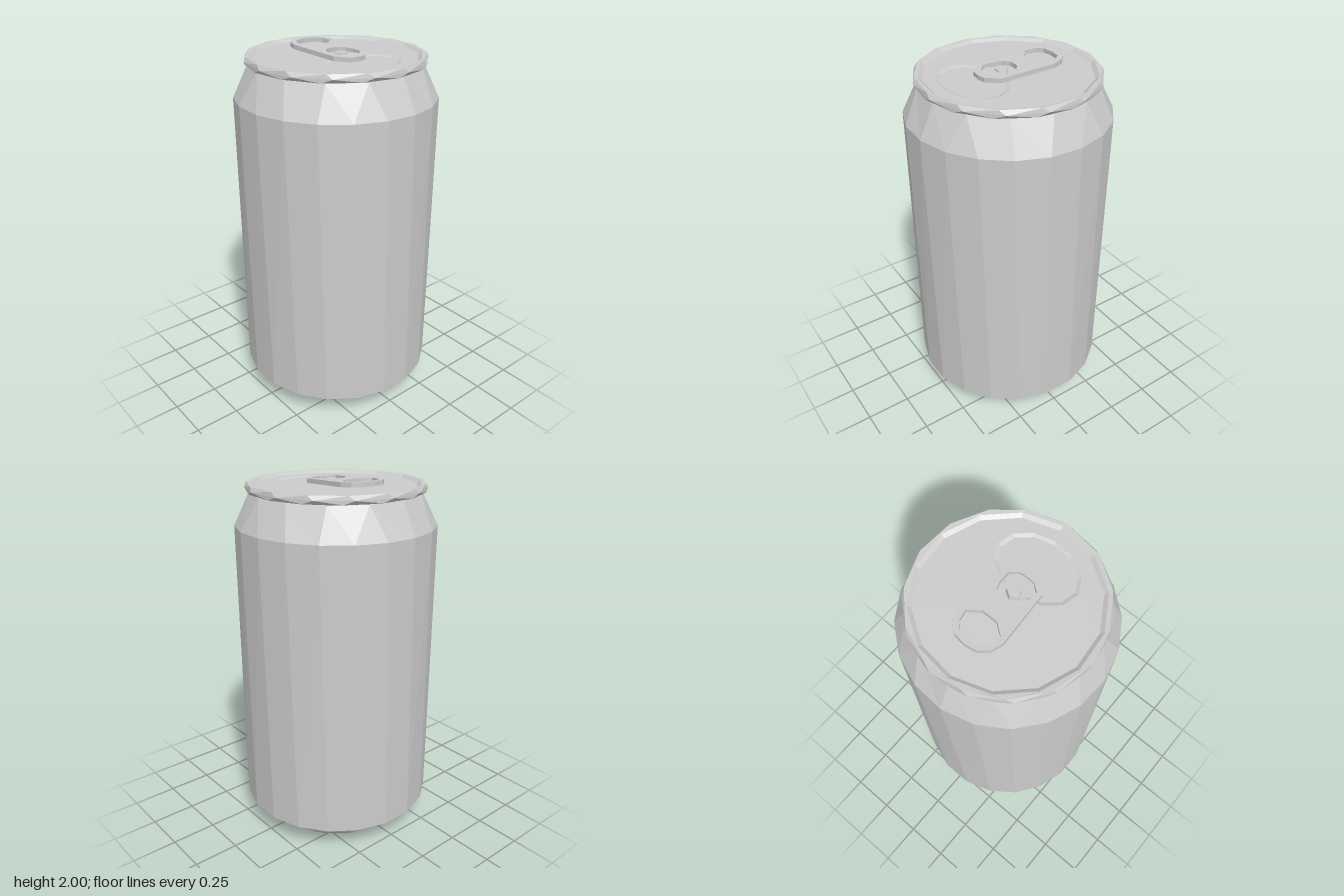
import * as THREE from 'three';

const grey = new THREE.MeshStandardMaterial({ color: 0xcccccc, flatShading: true });

// A polygon ring: n corners, radii rx/rz, height y, turned by phase, centred at z = cz
function ring(n, rx, y, phase = 0, rz = rx, cz = 0) {
  return { n, at: (i) => {
    const a = phase + (i / n) * Math.PI * 2;
    return [rx * Math.sin(a), y, cz + rz * Math.cos(a)];
  }, angle: (i) => phase + (i / n) * Math.PI * 2 };
}

// Zip consecutive rings (which may differ in corner count) into triangles
function loft(rings) {
  const pos = [];
  for (let k = 0; k < rings.length - 1; k++) {
    const A = rings[k], B = rings[k + 1];
    const stepsA = A.n > 1 ? A.n : 0, stepsB = B.n > 1 ? B.n : 0;
    let i = 0, j = 0;
    while (i < stepsA || j < stepsB) {
      if (j >= stepsB || (i < stepsA && A.angle(i + 1) <= B.angle(j + 1))) {
        pos.push(...A.at(i), ...A.at(i + 1), ...B.at(j));
        i++;
      } else {
        pos.push(...A.at(i), ...B.at(j + 1), ...B.at(j));
        j++;
      }
    }
  }
  const g = new THREE.BufferGeometry();
  g.setAttribute('position', new THREE.Float32BufferAttribute(pos, 3));
  g.computeVertexNormals();
  return g;
}

function add(parent, name, geometry) {
  const m = new THREE.Mesh(geometry, grey);
  m.name = name;
  parent.add(m);
  return m;
}

const outline = (r) => Array.from({ length: r.n }, (_, i) => {
  const p = r.at(i);
  return new THREE.Vector2(p[0], -p[2]);
});

// Flat plate drawn in plan (x, -z) and raised along y
function plate(points, holes, depth) {
  const s = new THREE.Shape(points);
  holes.forEach((h) => s.holes.push(new THREE.Path(h)));
  const g = depth
    ? new THREE.ExtrudeGeometry(s, { depth, bevelEnabled: false })
    : new THREE.ShapeGeometry(s);
  return g.rotateX(-Math.PI / 2);
}

const mirrored = (half) => [
  ...half.map(([x, z]) => new THREE.Vector2(x, -z)),
  ...half.filter(([x]) => x > 0).reverse().map(([x, z]) => new THREE.Vector2(-x, -z)),
];

export function createModel() {
  const can = new THREE.Group();
  can.name = 'drinkCan';

  // Domed underside, foot, wall and shoulder
  const step = Math.PI / 20;
  add(can, 'body', loft([
    ring(1, 0, 0.1), ring(8, 0.24, 0.075), ring(9, 0.34, 0.005),
    ring(12, 0.375, 0), ring(14, 0.415, 0.03), ring(14, 0.45, 0.07, 0.1),
    ring(20, 0.543, 0.14, step), ring(20, 0.543, 1.75, step * 0.6),
    ring(14, 0.46, 1.92, 0.1),
  ]));

  // Rolled rim dropping to the recessed lid
  const lidEdge = ring(14, 0.435, 1.952, 0.1);
  add(can, 'rim', loft([
    ring(14, 0.455, 1.922, 0.1), ring(15, 0.475, 1.925), ring(15, 0.483, 1.945, 0.12),
    ring(15, 0.473, 1.968, 0.05), ring(14, 0.455, 1.966, 0.1), lidEdge,
  ]));

  // Lid with a slightly sunken opening panel
  const score = ring(12, 0.225, 1.952, 0.1, 0.165, 0.21);
  add(can, 'lid', plate(outline(lidEdge), [outline(score)], 0)).position.y = 1.952;
  add(can, 'openingPanel', loft([
    score, ring(12, 0.205, 1.945, 0.1, 0.148, 0.21), ring(1, 0, 1.945, 0, 0, 0.21),
  ]));

  // Pull tab, rising towards the back
  const tab = new THREE.Group();
  tab.name = 'pullTab';
  tab.position.y = 1.961;
  tab.rotation.x = 0.05;
  can.add(tab);
  const tabOutline = mirrored([
    [0, 0.18], [0.05, 0.172], [0.107, 0.11], [0.13, -0.19], [0.11, -0.25], [0.065, -0.29], [0, -0.3],
  ]);
  const fingerHole = mirrored([
    [0, -0.125], [0.04, -0.125], [0.1, -0.17], [0.09, -0.225], [0.06, -0.262], [0, -0.27],
  ]);
  const rivetHole = mirrored([
    [0, 0.135], [0.04, 0.132], [0.082, 0.1], [0.08, 0.04], [0.065, -0.005], [0.03, -0.033], [0, -0.035],
  ]);
  add(tab, 'tabPlate', plate(tabOutline, [fingerHole, rivetHole], 0.024));

  // Tongue joining the tab to the rivet
  const tongue = add(tab, 'tongue', plate(mirrored([
    [0, 0.14], [0.045, 0.135], [0.08, 0.08], [0.04, 0.03], [0, 0.02],
  ]), [], 0.006));
  tongue.position.y = 0.004;

  // Five-sided rivet
  add(can, 'rivet', loft([
    ring(5, 0.045, 1.95, Math.PI, 0.04, 0.042), ring(5, 0.036, 1.978, Math.PI, 0.032, 0.042),
    ring(1, 0, 1.979, 0, 0, 0.042),
  ]));

  return can;
}
